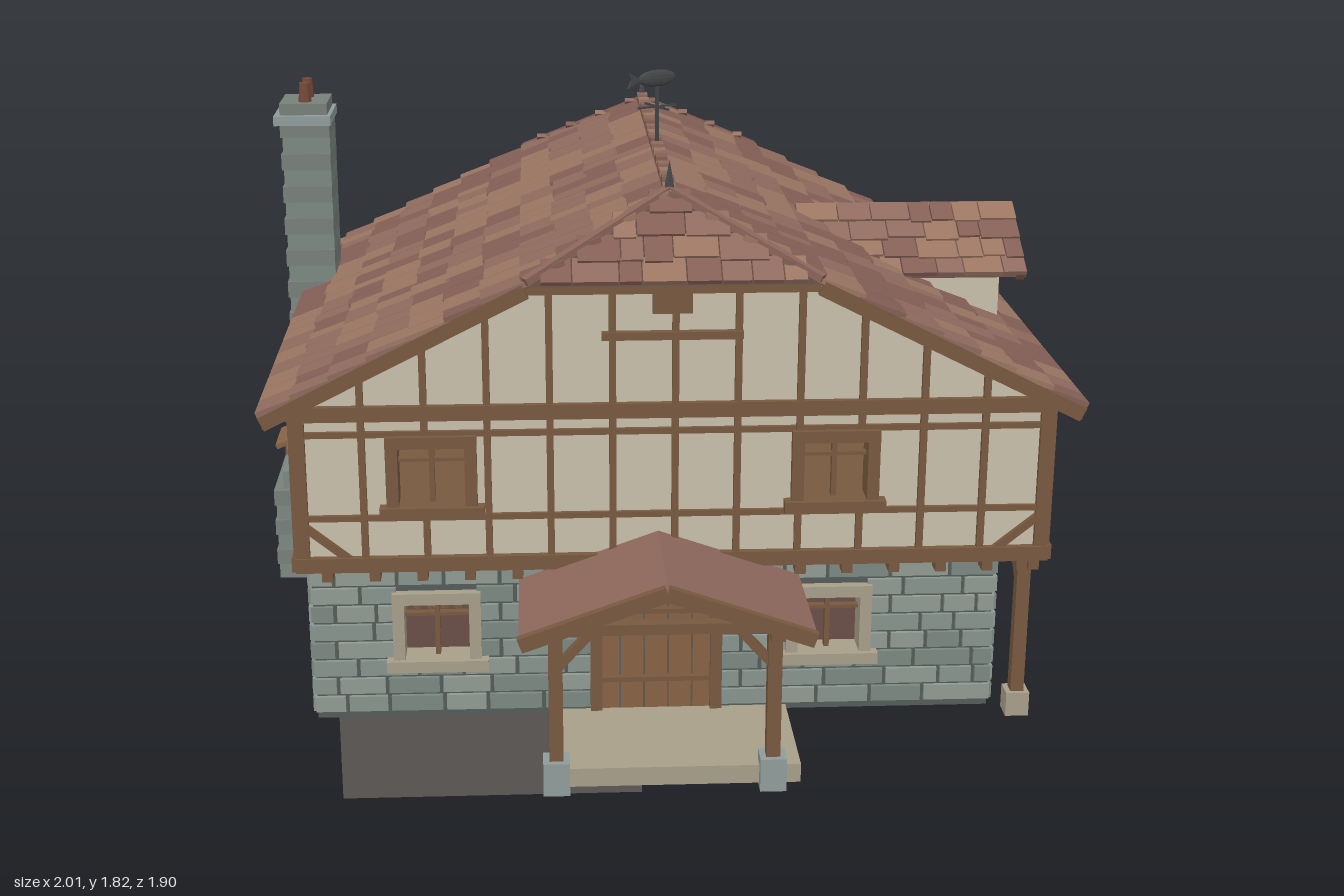
import * as THREE from 'three';
import { mergeGeometries } from 'three/addons/utils/BufferGeometryUtils.js';

const mat = (color, side = THREE.FrontSide) => new THREE.MeshStandardMaterial({ color, side, flatShading: true });
const M = {
  timber: mat(0x78593f), dark: mat(0x5c5856), plaster: mat(0xc8bfaa), mortar: mat(0x555c58),
  trim: mat(0xa89f8a), base: mat(0x8f9c9b), door: mat(0x876344), roof: mat(0x8c665a), under: mat(0x5e463e, THREE.DoubleSide),
  iron: mat(0x454648), chimney: mat(0x78807a), pot: mat(0x75493a), shutter: mat(0x8d6a58),
};
const stoneMats = [0x87948d, 0x7b8882, 0x909b92].map(c => mat(c));
const tileMats = [0x8f6a5e, 0x835f55, 0x9a7562].map(c => mat(c));
let seed = 7;
const rnd = () => (seed = (seed * 16807) % 2147483647) / 2147483647;
const V = (x, y, z) => new THREE.Vector3(x, y, z);

function add(parent, name, geo, material) {
  const m = new THREE.Mesh(geo, material);
  m.name = name;
  parent.add(m);
  return m;
}
// Box from minimum to maximum corner
function box(parent, name, material, x0, x1, y0, y1, z0, z1) {
  const m = add(parent, name, new THREE.BoxGeometry(x1 - x0, y1 - y0, z1 - z0), material);
  m.position.set((x0 + x1) / 2, (y0 + y1) / 2, (z0 + z1) / 2);
  return m;
}
// Straight bar between two points
function beam(parent, name, material, p, q, w, h = w) {
  const m = new THREE.Mesh(new THREE.BoxGeometry(w, h, p.distanceTo(q)), material);
  m.name = name;
  m.position.copy(p).add(q).multiplyScalar(0.5);
  m.lookAt(q);
  parent.add(m);
}
function extrude(parent, name, material, pts, depth, z, holes = []) {
  const s = new THREE.Shape(pts.map(p => new THREE.Vector2(...p)));
  for (const [a, b, c, d] of holes)
    s.holes.push(new THREE.Path([[a, c], [a, d], [b, d], [b, c]].map(p => new THREE.Vector2(...p))));
  const m = add(parent, name, new THREE.ExtrudeGeometry(s, { depth, bevelEnabled: false }), material);
  m.position.z = z;
}
// Merge a bucket list (one per shade) into meshes
function flush(parent, name, buckets, mats) {
  buckets.forEach((g, i) => g.length && add(parent, name, mergeGeometries(g), mats[i]));
}
// Remove blocked intervals from [a, b]
function subtract(a, b, cuts) {
  const out = [];
  for (const [c, d] of cuts.sort((p, q) => p[0] - q[0])) {
    if (c > a) out.push([a, Math.min(c, b)]);
    a = Math.max(a, d);
  }
  if (a < b) out.push([a, b]);
  return out;
}
// Running-bond stones on a wall, left out over the openings
function stones(parent, u0, u1, y0, y1, w, holes, rows) {
  const buckets = [[], [], []], h = (y1 - y0) / rows;
  for (let r = 0; r < rows; r++) {
    const y = y0 + (r + 0.5) * h;
    const cuts = holes.filter(o => y > o[2] - 0.01 && y < o[3] + 0.01).map(o => [o[0], o[1]]);
    for (const [a, b] of subtract(u0, u1, cuts)) {
      for (let u = a; u < b - 0.01;) {
        let len = u === a && r % 2 ? 0.06 : 0.08 + rnd() * 0.07;
        if (u + len > b - 0.04) len = b - u;
        buckets[Math.floor(rnd() * 3)].push(new THREE.BoxGeometry(len - 0.009, h - 0.008, 0.03).translate(u + len / 2, y, w - 0.005));
        u += len;
      }
    }
  }
  flush(parent, 'wallStones', buckets, stoneMats);
}
// Rows of ragged tiles on a face; corners: top left, top right, bottom left, bottom right
function tileFace(parent, name, a, b, c, d, rows) {
  const along = d.clone().sub(c).normalize();
  const up = a.clone().sub(c);
  up.addScaledVector(along, -up.dot(along));
  const h = up.length() / rows;
  up.normalize();
  const n = along.clone().cross(up), buckets = [[], [], []];
  for (let r = 0; r < rows; r++) {
    const t = (r + 0.6) / rows, p = a.clone().lerp(c, t), L = p.distanceTo(b.clone().lerp(d, t));
    for (let s = 0; s < L - 0.005;) {
      let len = 0.05 + rnd() * 0.06;
      if (s + len > L - 0.03) len = L - s;
      const drop = (rnd() - 0.3) * 0.014 * (r < rows - 1);
      const g = new THREE.BoxGeometry(len - 0.003, h * 1.12 + drop, 0.012).rotateX(-0.1).translate(0, -drop / 2, 0);
      const pos = p.clone().addScaledVector(along, s + len / 2).addScaledVector(up, h * 0.1).addScaledVector(n, 0.006);
      buckets[Math.floor(rnd() * 3)].push(g.applyMatrix4(new THREE.Matrix4().makeBasis(along, up, n).setPosition(pos)));
      s += len;
    }
  }
  flush(parent, name + 'Tiles', buckets, tileMats);
  const g = new THREE.BufferGeometry().setFromPoints([a, c, d, a, d, b].map(v => v.clone().addScaledVector(n, -0.008)));
  g.computeVertexNormals();
  add(parent, name + 'Backing', g, M.under);
}
function windowFrame(parent, [a, b, c, d], w, material) {
  const f = 0.014;
  for (const u of [a, b]) box(parent, 'windowJamb', material, u - f, u + f, c - f, d + f, w - 0.05, w + 0.022);
  box(parent, 'windowLintel', material, a - f, b + f, d - f, d + f, w - 0.05, w + 0.024);
  box(parent, 'windowSill', material, a - 0.03, b + 0.03, c - 0.022, c + 0.006, w - 0.05, w + 0.035);
  box(parent, 'windowMullion', M.timber, (a + b) / 2 - 0.006, (a + b) / 2 + 0.006, c, d, w - 0.03, w - 0.01);
  box(parent, 'windowBar', M.timber, a, b, d - 0.055, d - 0.047, w - 0.03, w - 0.01);
}

const RX = 0.06, RY = 1.62, SLOPE = 0.503;               // ridge position and roof pitch
const roofY = x => RY - Math.abs(x - RX) * SLOPE;

// One side of the house in its own frame: u to the right, w outward
function side(house, cfg) {
  const g = new THREE.Group();
  g.name = cfg.name;
  g.rotation.y = cfg.rot;
  house.add(g);
  const s = cfg.s, map = ([a, b, c, d]) => s > 0 ? [a, b, c, d] : [-b, -a, c, d];
  const span = ([a, b]) => s > 0 ? [a, b] : [-b, -a];
  const low = cfg.low.map(map), high = cfg.high.map(map), doors = (cfg.doors || []).map(map);
  const [a, b] = span(cfg.stone), [p, q] = span(cfg.upper), ws = cfg.ws, wu = cfg.wu;

  // Stone ground floor
  extrude(g, 'groundWall', M.mortar, [[a, 0.37], [b, 0.37], [b, 0.78], [a, 0.78]], 0.04, ws - 0.04, low);
  stones(g, a - 0.008, b + 0.008, 0.385, 0.755, ws, [...low, ...doors], 8);
  low.forEach(o => windowFrame(g, o, ws, M.trim));
  for (const [c, d, e, f] of doors) {
    const n = 5, step = (d - c) / n;
    for (let i = 0; i < n; i++) box(g, 'doorPlank', M.door, c + i * step + 0.002, c + (i + 1) * step - 0.002, e, f, ws - 0.01, ws + 0.01);
    for (const y of [e + 0.07, f - 0.07]) box(g, 'doorStrap', M.timber, c, d, y, y + 0.012, ws, ws + 0.016);
    for (const u of [c, d]) box(g, 'doorJamb', M.timber, u - 0.014, u + 0.014, e, f, ws - 0.01, ws + 0.025);
    box(g, 'doorLintel', M.timber, c - 0.03, d + 0.03, f, f + 0.03, ws - 0.01, ws + 0.028);
  }

  // Plastered upper floor, with the gable on the end walls
  const gx = x => s * x, top = cfg.gable
    ? [[gx(0.935), 1.16], [gx(0.38), 1.44], [gx(-0.26), 1.44], [gx(-0.8), 1.17]] : [[q, 1.17], [p, 1.17]];
  const foot = cfg.gable ? [[gx(-0.8), 0.78], [gx(0.935), 0.78]] : [[p, 0.78], [q, 0.78]];
  extrude(g, 'upperWall', M.plaster, [...foot, ...top], 0.04, wu - 0.04, high);
  high.forEach(o => windowFrame(g, o, wu, M.timber));
  const rail = (y, h, out = 0.012) => box(g, 'rail', M.timber, p - 0.008, q + 0.008, y, y + h, wu - 0.02, wu + out);
  rail(0.765, 0.035, 0.018);
  rail(1.13, 0.035, 0.016);
  for (const [y, h] of [[0.888, 0.014], [1.09, 0.014]])
    for (const [c, d] of subtract(p, q, high.filter(o => y > o[2] && y < o[3]).map(o => [o[0], o[1]])))
      box(g, 'rail', M.timber, c, d, y, y + h, wu - 0.01, wu + 0.01);
  const n = 12;
  for (let i = 0; i <= n; i++) {
    const u = p + 0.01 + (q - p - 0.02) * i / n, r = i % n ? 0.008 : 0.015;
    const cuts = high.filter(o => u > o[0] - 0.01 && u < o[1] + 0.01).map(o => [o[2], o[3]]);
    const end = cfg.gable ? Math.min(1.44, roofY(s * u) - 0.015) : 1.16;
    for (const [c, d] of subtract(0.78, end, cuts)) box(g, 'stud', M.timber, u - r, u + r, c, d, wu - 0.01, wu + 0.013);
  }
  for (const [u, k] of [[p, 1], [q, -1]])
    beam(g, 'cornerBrace', M.timber, V(u + k * 0.01, 0.88, wu + 0.003), V(u + k * 0.12, 0.79, wu + 0.003), 0.018);
  if (cfg.gable) {
    const c = s * RX;
    box(g, 'gableRail', M.timber, c - 0.33, c + 0.33, 1.425, 1.445, wu - 0.01, wu + 0.03);
    box(g, 'gableCrossbar', M.timber, c - 0.16, c + 0.16, 1.315, 1.333, wu, wu + 0.02);
    box(g, 'gableHatch', M.timber, c - 0.045, c + 0.045, 1.375, 1.43, wu, wu + 0.016);
  }
  for (let u = p + 0.05; u < q; u += 0.11) box(g, 'joist', M.timber, u, u + 0.025, 0.74, 0.768, ws, wu + 0.012);

  // Posts carrying the overhang
  for (const v of cfg.posts || []) {
    const u = s * v, w = wu - 0.035;
    box(g, 'postFoot', M.trim, u - 0.028, u + 0.028, 0.35, 0.41, w - 0.028, w + 0.028);
    box(g, 'post', M.timber, u - 0.016, u + 0.016, 0.41, 0.77, w - 0.016, w + 0.016);
    for (const k of [-1, 1]) if (u + k * 0.1 > p && u + k * 0.1 < q)
      beam(g, 'postBrace', M.timber, V(u, 0.65, w), V(u + k * 0.09, 0.755, w), 0.02);
  }
  if (cfg.posts) box(g, 'postBeam', M.timber, p, q, 0.735, 0.77, wu - 0.06, wu - 0.015);
}

export function createModel() {
  const house = new THREE.Group();
  house.name = 'house';

  // Cellar, floors
  box(house, 'cellar', M.dark, -0.76, 0.01, 0, 0.375, -0.37, 0.265);
  box(house, 'groundFloor', M.under, -0.77, 0.82, 0.368, 0.39, -0.78, 0.545);
  box(house, 'upperFloor', M.timber, -0.795, 0.93, 0.765, 0.782, -0.885, 0.585);
  beam(house, 'stair', M.timber, V(-0.3, 0.5, 0.35), V(-0.3, 0.75, -0.05), 0.12, 0.02);

  // Four sides
  const X = (c, d) => [[-0.58, -0.4, c, d], [0.35, 0.525, c, d]], doors = [[-0.115, 0.17, 0.385, 0.7]];
  const Z = (c, d) => [[0.12, 0.295, c, d], [-0.62, -0.425, c, d]];
  const ends = { low: X(0.52, 0.68), high: X(0.92, 1.08), stone: [-0.78, 0.83], upper: [-0.8, 0.935], gable: true, doors };
  const flanks = { stone: [-0.78, 0.55], upper: [-0.89, 0.59] };
  side(house, { ...ends, name: 'frontSide', rot: 0, s: 1, ws: 0.55, wu: 0.59 });
  side(house, { ...ends, name: 'backSide', rot: Math.PI, s: -1, ws: 0.78, wu: 0.89, posts: [-0.7, -0.2, 0.32] });
  side(house, { ...flanks, name: 'leftSide', rot: Math.PI / 2, s: -1, ws: 0.83, wu: 0.935,
    low: Z(0.52, 0.68), high: Z(0.91, 1.08), posts: [0.55, 0.1, -0.42, -0.855] });
  side(house, { ...flanks, name: 'rightSide', rot: -Math.PI / 2, s: 1, ws: 0.78, wu: 0.8, low: Z(0.52, 0.68).slice(0, 1), high: Z(0.91, 1.08).slice(0, 1) });
  for (let i = 0; i < 6; i++) {
    const m = add(house, 'hangingHerb', new THREE.ConeGeometry(0.01, 0.05, 5), M.timber);
    m.position.set(-0.57 + i * 0.032, 0.65, 0.49);
  }

  // Main roof: upper slopes, lower slopes and clipped gable ends
  const hipX = 0.33, hipY = RY - hipX * SLOPE, zf = [0.46, 0.645], zb = [-0.76, -0.945];
  for (const k of [1, -1]) {
    const eave = k > 0 ? 0.995 : -0.865, ze = k > 0 ? [zf, zb] : [zb, zf];
    const P = (x, zs, i) => V(x, roofY(x), zs[i]), hx = RX + k * hipX;
    tileFace(house, 'upperRoof', P(RX, ze[0], 0), P(RX, ze[1], 0), P(hx, ze[0], 1), P(hx, ze[1], 1), 4);
    tileFace(house, 'lowerRoof', P(hx, ze[0], 1), P(hx, ze[1], 1), P(eave, ze[0], 1), P(eave, ze[1], 1), 7);
    for (const zs of [zf, zb]) {
      const z = zs[1] - Math.sign(zs[1]) * 0.01;
      beam(house, 'bargeBoard', M.timber, V(hx, hipY - 0.015, z), V(eave, roofY(eave) - 0.015, z), 0.02, 0.034);
      beam(house, 'hipRidge', M.roof, V(RX, RY + 0.008, zs[0]), V(hx, hipY + 0.008, zs[1]), 0.022, 0.018);
    }
    beam(house, 'eaveBoard', M.timber, V(eave - k * 0.01, roofY(eave) - 0.012, zf[1]), V(eave - k * 0.01, roofY(eave) - 0.012, zb[1]), 0.016, 0.026);
    const zs = k > 0 ? zf : zb, apex = V(RX, RY, zs[0]);
    tileFace(house, 'gableRoof', apex, apex, V(RX - k * hipX, hipY, zs[1]), V(RX + k * hipX, hipY, zs[1]), 4);
    const f = add(house, 'finial', new THREE.ConeGeometry(0.016, 0.08, 6), M.iron);
    f.position.set(RX, 1.655, zs[0]);
  }
  for (let i = 0; i < 30; i++) {
    const z = -0.76 + i * 1.22 / 30;
    box(house, 'ridgeTile', tileMats[i % 3], RX - 0.014, RX + 0.014, 1.61, i % 2 ? 1.635 : 1.645, z, z + 0.038);
  }

  // Dormer
  const dormer = new THREE.Group();
  dormer.name = 'dormer';
  dormer.rotation.y = Math.PI / 2;
  house.add(dormer);
  extrude(dormer, 'dormerWall', M.plaster, [[-0.04, 1.15], [0.28, 1.15], [0.28, 1.33], [0.12, 1.44], [-0.04, 1.33]], 0.5, 0.42);
  for (const u of [0.05, 0.123]) box(dormer, 'dormerShutter', M.shutter, u, u + 0.07, 1.19, 1.33, 0.92, 0.932);
  box(dormer, 'dormerSill', M.timber, 0.03, 0.21, 1.175, 1.19, 0.92, 0.945);
  for (const e of [-0.08, 0.32]) beam(dormer, 'dormerBarge', M.timber, V(e, 1.315, 0.965), V(0.12, 1.45, 0.965), 0.02);
  const D = (x, y, z) => V(x, y, z - 0.12);
  tileFace(house, 'dormerRoof', D(0.38, 1.455, 0), D(0.98, 1.455, 0), D(0.64, 1.32, 0.2), D(0.98, 1.32, 0.2), 4);
  tileFace(house, 'dormerRoof', D(0.98, 1.455, 0), D(0.38, 1.455, 0), D(0.98, 1.32, -0.2), D(0.64, 1.32, -0.2), 4);

  // Front porch
  extrude(house, 'porchRoof', M.roof, [[-0.295, 0.735], [0.03, 0.85], [0.36, 0.735], [0.355, 0.715], [0.03, 0.828], [-0.29, 0.715]], 0.35, 0.59);
  for (const e of [-0.293, 0.357]) beam(house, 'porchBarge', M.timber, V(e, 0.722, 0.935), V(0.03, 0.837, 0.935), 0.02, 0.034);
  box(house, 'porchSlab', M.trim, -0.23, 0.34, 0.34, 0.385, 0.56, 0.87);
  for (const x of [-0.215, 0.275]) {
    box(house, 'porchFoot', M.base, x - 0.03, x + 0.03, 0.33, 0.41, 0.835, 0.895);
    box(house, 'porchPost', M.timber, x - 0.016, x + 0.016, 0.41, 0.74, 0.849, 0.881);
    box(house, 'porchPlate', M.timber, x - 0.016, x + 0.016, 0.715, 0.745, 0.56, 0.93);
    beam(house, 'porchBrace', M.timber, V(x, 0.63, 0.865), V(x + (x < 0 ? 0.09 : -0.09), 0.73, 0.865), 0.02);
  }
  box(house, 'porchTie', M.timber, -0.27, 0.33, 0.715, 0.74, 0.85, 0.88);

  // Chimney: stacked rings tapering at two shoulders
  const rings = [[0.36, -0.97, -0.66, -0.36], [0.62, -0.97, -0.66, -0.36], [0.67, -0.93, -0.64, -0.385],
    [0.96, -0.93, -0.64, -0.385], [1.02, -0.91, -0.6, -0.43], [1.63, -0.91, -0.6, -0.43]];
  for (let i = 0; i < 5; i++) {
    const [y0, x0, a0, b0] = rings[i], [y1, x1, a1, b1] = rings[i + 1], n = Math.max(1, Math.round((y1 - y0) / 0.045));
    for (let j = 0; j < n; j++) {
      const t = (j + 0.5) / n, L = THREE.MathUtils.lerp, o = j % 2 * 0.005, y = L(y0, y1, j / n);
      box(house, 'chimneyCourse', j % 2 ? M.chimney : stoneMats[1], L(x0, x1, t) - o, -0.785, y, L(y0, y1, (j + 1) / n), L(a0, a1, t) - o, L(b0, b1, t) + o);
    }
  }
  box(house, 'chimneyCap', M.base, -0.93, -0.78, 1.62, 1.645, -0.615, -0.415);
  box(house, 'chimneyCap', M.chimney, -0.915, -0.79, 1.645, 1.675, -0.595, -0.435);
  for (const z of [-0.475, -0.55]) add(house, 'chimneyPot', new THREE.CylinderGeometry(0.014, 0.018, 0.06, 10), M.pot).position.set(-0.85, 1.695, z);

  // Lean-to wood store beside the chimney
  beam(house, 'storeRoof', M.door, V(-1.0, 0.645, -0.735), V(-0.8, 0.73, -0.735), 0.16, 0.014);
  for (const z of [-0.8, -0.67]) box(house, 'storePost', M.timber, -0.975, -0.955, 0.36, 0.655, z - 0.01, z + 0.01);
  box(house, 'storeBase', M.trim, -0.975, -0.78, 0.355, 0.385, -0.81, -0.66);
  for (let r = 0; r < 4; r++) for (let i = 0; i < 4; i++) {
    const log = add(house, 'log', new THREE.CylinderGeometry(0.019, 0.019, 0.12, 7), r + i & 1 ? M.timber : M.door);
    log.rotation.x = Math.PI / 2;
    log.position.set(-0.94 + i * 0.04, 0.405 + r * 0.038, -0.735);
  }

  // Fish weather vane
  const vane = new THREE.Group();
  vane.name = 'weatherVane';
  vane.position.set(RX, 0, -0.035);
  vane.rotation.y = 0.5;
  house.add(vane);
  beam(vane, 'vanePole', M.iron, V(0, 1.62, 0), V(0, 1.79, 0), 0.007);
  for (const [x, z] of [[0.055, 0], [0, 0.055]]) beam(vane, 'vaneArm', M.iron, V(-x, 1.73, -z), V(x, 1.73, z), 0.005);
  const fish = add(vane, 'fishBody', new THREE.SphereGeometry(1, 12, 8), M.iron);
  fish.scale.set(0.055, 0.021, 0.01);
  fish.position.set(0, 1.8, 0);
  extrude(vane, 'fishTail', M.iron, [[-0.045, 1.8], [-0.085, 1.82], [-0.075, 1.8], [-0.085, 1.78]], 0.006, -0.003);
  return house;
}
